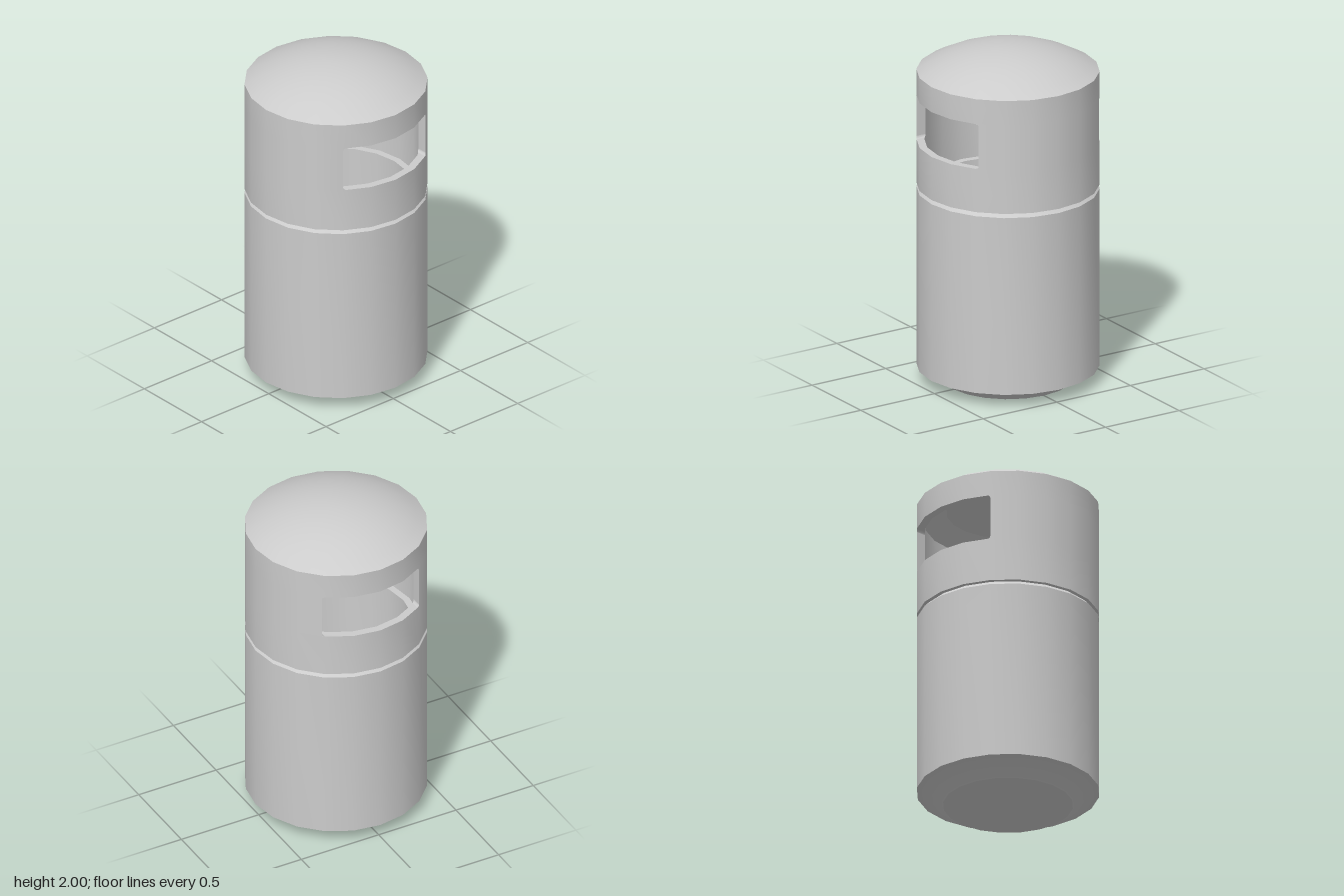
import * as THREE from 'three';
import { mergeGeometries, toCreasedNormals } from 'three/addons/utils/BufferGeometryUtils.js';

const SIDES = 20, OUTER = 0.52, INNER = 0.475;
const SILL = 1.43, LINTEL = 1.70, LEFT = 0.317, RIGHT = 0.305;
const CREASE = 0.45;
const V = (x, y) => new THREE.Vector2(x, y);

const polygon = (r) => Array.from({ length: SIDES }, (_, i) => {
  const a = (i / SIDES) * Math.PI * 2;
  return V(r * Math.cos(a), r * Math.sin(a));
});

// distance from the centre plane to a flat-sided wall at a given x
function wallZ(x, r) {
  const step = (Math.PI * 2) / SIDES;
  const k = Math.floor(Math.asin(Math.abs(x) / r) / step);
  const x0 = r * Math.sin(k * step), x1 = r * Math.sin((k + 1) * step);
  const z0 = r * Math.cos(k * step), z1 = r * Math.cos((k + 1) * step);
  return z0 + ((z1 - z0) * (Math.abs(x) - x0)) / (x1 - x0);
}

// raise a plan shape between two heights
function raise(shape, y0, y1) {
  const g = new THREE.ExtrudeGeometry(shape, { depth: y1 - y0, bevelEnabled: false });
  return g.rotateX(-Math.PI / 2).translate(0, y0, 0);
}

function ring(y0, y1) {
  const shape = new THREE.Shape(polygon(OUTER));
  shape.holes.push(new THREE.Path(polygon(INNER)));
  return raise(shape, y0, y1);
}

// the part of the wall beyond x = limit, on one side
function pillar(side, limit) {
  const arc = (r) => [
    V(limit, -wallZ(limit, r)),
    ...polygon(r).filter((p) => p.x > limit + 1e-4).sort((a, b) => a.y - b.y),
    V(limit, wallZ(limit, r)),
  ];
  const points = [...arc(OUTER), ...arc(INNER).reverse()].map((p) => V(p.x * side, p.y));
  return raise(new THREE.Shape(points), SILL, LINTEL);
}

// small rounding in a corner of an opening, fitted to the wall
function fillet(x, sx, y, sy, front) {
  const r = 0.015, shape = new THREE.Shape([V(x, y)]);
  const points = [V(x, y)];
  for (let i = 0; i <= 4; i++) {
    const a = (i / 4) * Math.PI / 2;
    points.push(V(x + sx * r * (1 - Math.sin(a)), y + sy * r * (1 - Math.cos(a))));
  }
  shape.setFromPoints(points);
  const g = new THREE.ExtrudeGeometry(shape, { depth: 1, bevelEnabled: false });
  const p = g.attributes.position;
  for (let i = 0; i < p.count; i++) {
    const near = p.getZ(i) > 0.5;
    const z = wallZ(p.getX(i), near === front ? OUTER : INNER);
    p.setZ(i, front ? z : -z);
  }
  return g;
}

export function createModel() {
  const group = new THREE.Group();
  const material = new THREE.MeshStandardMaterial({ color: 0xcccccc, side: THREE.DoubleSide });
  const add = (name, geometry) => {
    const mesh = new THREE.Mesh(toCreasedNormals(geometry, CREASE), material);
    mesh.name = name;
    group.add(mesh);
  };
  const lathe = (points) => new THREE.LatheGeometry(points.map(([x, y]) => V(x, y)), SIDES);

  // hollow lower container with tapered foot and chamfered rim
  add('body', lathe([
    [0, 0], [0.37, 0], [0.45, 0.055], [OUTER, 0.08], [OUTER, 1.145],
    [0.495, 1.17], [0.435, 1.17], [0.435, 0.1], [0, 0.1],
  ]));

  // upper wall with an opening at front and back
  const parts = [ring(1.17, SILL), ring(LINTEL, 1.85), pillar(1, LEFT), pillar(-1, RIGHT)];
  for (const front of [true, false]) {
    for (const [x, sx] of [[LEFT, -1], [-RIGHT, 1]]) {
      parts.push(fillet(x, sx, SILL, 1, front), fillet(x, sx, LINTEL, -1, front));
    }
  }
  add('head', mergeGeometries(parts));

  // underside of the lid
  add('ceiling', lathe([[0, 1.83], [0.35, 1.83], [INNER, 1.76]]));

  // shallow spherical lid
  const radius = (OUTER ** 2 + 0.15 ** 2) / 0.3;
  const cap = [];
  for (let i = 0; i <= 8; i++) {
    const a = Math.asin(OUTER / radius) * (1 - i / 8);
    cap.push([radius * Math.sin(a), 2 - radius + radius * Math.cos(a)]);
  }
  add('domeLid', lathe(cap));

  return group;
}
